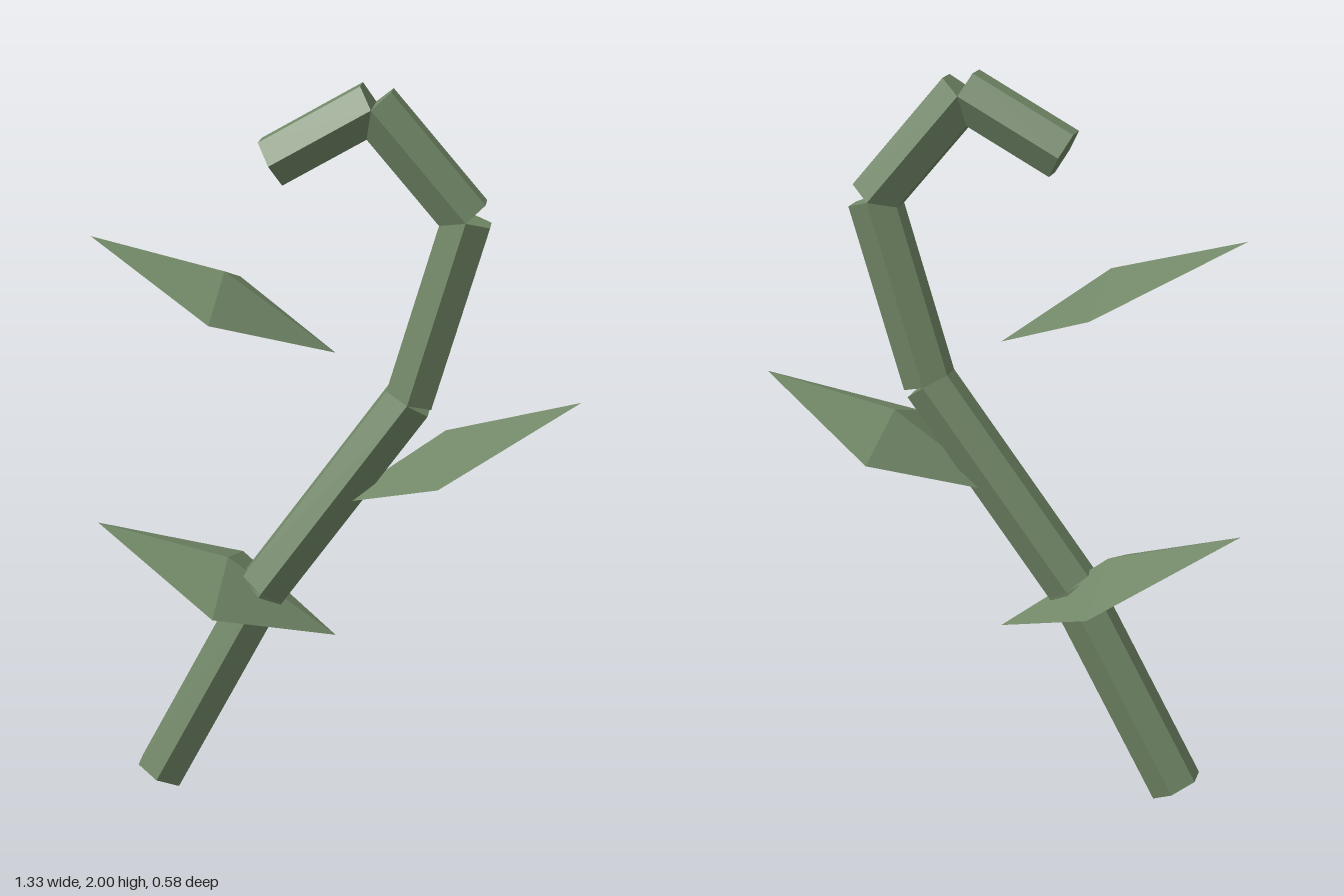
import * as THREE from 'three';

export function createModel() {
  const model = new THREE.Group();
  model.name = 'leafyStalk';
  const green = new THREE.MeshStandardMaterial({ color: 0x728867, flatShading: true });
  green.name = 'leafGreen';

  // Hooked stalk: straight hexagonal pieces between joints
  const joints = [[-0.5, 0.033], [-0.2, 0.6], [0.2, 1.15], [0.35, 1.65], [0.1, 1.943], [-0.17, 1.79]]
    .map(([x, y]) => new THREE.Vector3(x, y, 0));
  const stalk = new THREE.Group();
  stalk.name = 'stalk';
  const up = new THREE.Vector3(0, 1, 0);
  for (let i = 0; i < joints.length - 1; i++) {
    const dir = joints[i + 1].clone().sub(joints[i]);
    const piece = new THREE.Mesh(new THREE.CylinderGeometry(0.075, 0.075, dir.length(), 6), green);
    piece.name = `stalkPiece${i + 1}`;
    piece.position.copy(joints[i]).addScaledVector(dir, 0.5);
    piece.quaternion.setFromUnitVectors(up, dir.normalize());
    stalk.add(piece);
  }
  model.add(stalk);

  // Leaf: shallow pyramid on a tilted flat kite, tip towards -x
  const inner = [0.3, -0.137, 0], back = [0, 0, -0.29], tip = [-0.363, 0.168, 0], front = [0, 0, 0.29];
  const ridge = [0, 0.08, 0];
  const rim = [inner, back, tip, front];
  const corners = [];
  rim.forEach((p, i) => corners.push(...p, ...rim[(i + 1) % 4], ...ridge));
  corners.push(...inner, ...front, ...tip, ...inner, ...tip, ...back);
  const leafGeometry = new THREE.BufferGeometry();
  leafGeometry.setAttribute('position', new THREE.Float32BufferAttribute(corners, 3));
  leafGeometry.computeVertexNormals();

  const leaves = [['lowerRightLeaf', -0.3, 0.6], ['middleLeftLeaf', 0.3, 0.985], ['upperRightLeaf', -0.3, 1.41]];
  for (const [name, x, y] of leaves) {
    const leaf = new THREE.Mesh(leafGeometry, green);
    leaf.name = name;
    leaf.position.set(x, y, 0);
    if (x > 0) leaf.rotation.y = Math.PI;
    model.add(leaf);
  }
  return model;
}
